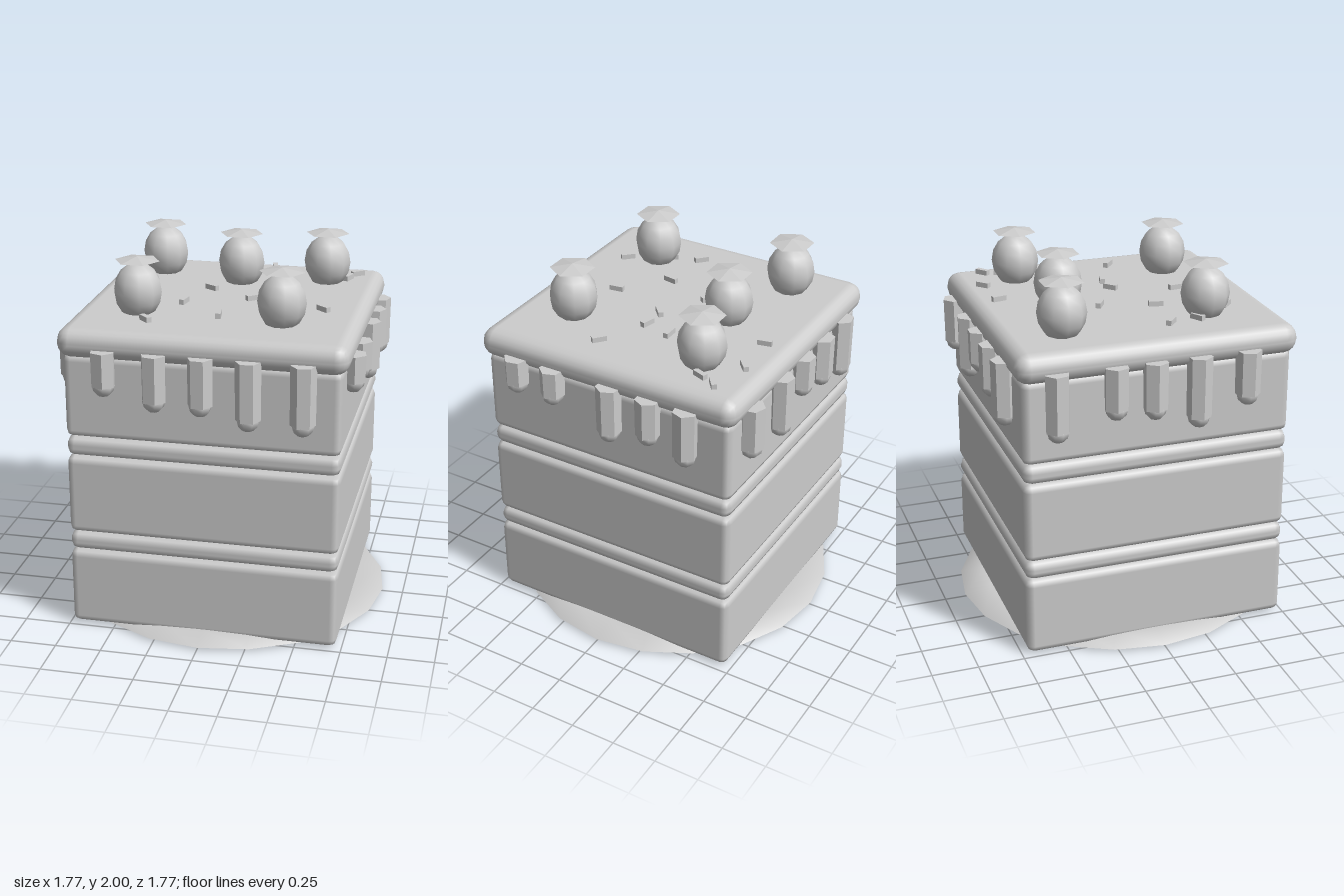
import * as THREE from 'three';
import { RoundedBoxGeometry } from 'three/addons/geometries/RoundedBoxGeometry.js';

export function createModel() {
  const model = new THREE.Group();
  model.name = 'layerCake';
  const grey = new THREE.MeshStandardMaterial({ color: 0xcccccc });
  grey.name = 'plain grey';

  const add = (name, geometry, x, y, z, parent = model) => {
    const mesh = new THREE.Mesh(geometry, grey);
    mesh.name = name;
    mesh.position.set(x, y, z);
    parent.add(mesh);
    return mesh;
  };

  // Thin plate: shallow rim rising towards the cake
  const plateProfile = [[0, 0], [0.8, 0], [0.885, 0.012], [0.74, 0.04], [0, 0.042]];
  add('plate', new THREE.LatheGeometry(plateProfile.map(p => new THREE.Vector2(...p)), 20), 0, 0, 0);

  // Square slabs: sponge, cream and icing
  const slab = (name, bottom, top, width, radius, segments) =>
    add(name, new RoundedBoxGeometry(width, top - bottom, width, segments, radius),
      -0.007, (bottom + top) / 2, 0.007);
  slab('spongeBottom', 0.01, 0.445, 1.46, 0.04, 1);
  slab('creamLower', 0.445, 0.55, 1.46, 0.045, 1);
  slab('spongeMiddle', 0.55, 0.99, 1.46, 0.04, 1);
  slab('creamUpper', 0.99, 1.1, 1.46, 0.045, 1);
  slab('spongeTop', 1.1, 1.56, 1.46, 0.04, 1);
  slab('icing', 1.54, 1.7, 1.525, 0.075, 2);

  // Icing drips: six-sided columns with rounded tips; [place along side, tip height]
  const sides = {
    front: [[-0.51, 1.355], [-0.243, 1.29], [0, 1.285], [0.248, 1.225], [0.53, 1.22]],
    back: [[0.54, 1.297], [0.22, 1.25], [-0.02, 1.365], [-0.25, 1.31], [-0.49, 1.245]],
    left: [[0.53, 1.395], [0.307, 1.39], [-0.037, 1.275], [-0.27, 1.33], [-0.487, 1.275]],
    right: [[-0.55, 1.23], [-0.24, 1.31], [-0.03, 1.285], [0.21, 1.21], [0.48, 1.3]],
  };
  const place = {
    front: t => [t, 0.763], back: t => [t, -0.75],
    left: t => [0.75, t], right: t => [-0.763, t],
  };
  const tipGeometry = new THREE.SphereGeometry(0.06, 8, 6);
  for (const side in sides) {
    sides[side].forEach(([t, tip], i) => {
      const drip = new THREE.Group();
      drip.name = side + 'Drip';
      const [x, z] = place[side](t);
      const end = tip + 0.06;
      drip.position.set(x, 0, z);
      drip.rotation.y = 0.2 + i * 0.13;
      const column = new THREE.CylinderGeometry(0.068, 0.066, 1.6 - end, 6).toNonIndexed();
      column.computeVertexNormals();
      add('dripColumn', column, 0, (1.6 + end) / 2, 0, drip);
      add('dripTip', tipGeometry, 0, end, 0, drip);
      model.add(drip);
    });
  }

  // Berries with flat six-sided caps
  const berryGeometry = new THREE.SphereGeometry(0.13, 10, 8).scale(1, 1.16, 1);
  const capProfile = [[0, 1.955], [0.12, 1.978], [0, 2]].map(p => new THREE.Vector2(...p));
  const capGeometry = new THREE.LatheGeometry(capProfile, 6, Math.PI / 2).toNonIndexed();
  capGeometry.computeVertexNormals();
  for (const [x, z] of [[-0.48, -0.435], [-0.01, -0.31], [0.46, -0.415], [-0.425, 0.37], [0.355, 0.425]]) {
    const berry = new THREE.Group();
    berry.name = 'berry';
    berry.position.set(x, 0, z);
    add('berryBody', berryGeometry, 0, 1.815, 0, berry);
    add('berryCap', capGeometry, 0, 0, 0, berry);
    model.add(berry);
  }

  // Sprinkles: [x, z, turn in degrees]
  const sprinkleGeometry = new THREE.BoxGeometry(0.078, 0.032, 0.028);
  for (const [x, z, turn] of [
    [0.13, -0.6, -78], [0.39, -0.62, 42], [0.615, -0.565, 38], [-0.135, -0.115, -32],
    [0.295, -0.125, 0], [0.257, 0.03, -14], [0.125, 0.035, 42], [-0.225, 0.17, 80],
    [-0.52, 0.145, -42], [0.53, 0.157, -40], [0.01, 0.375, -82], [-0.345, 0.525, -45],
    [0.575, -0.47, 70], [-0.5, 0.3, 30],
  ]) {
    add('sprinkle', sprinkleGeometry, x, 1.712, z).rotation.y = THREE.MathUtils.degToRad(turn);
  }

  return model;
}
